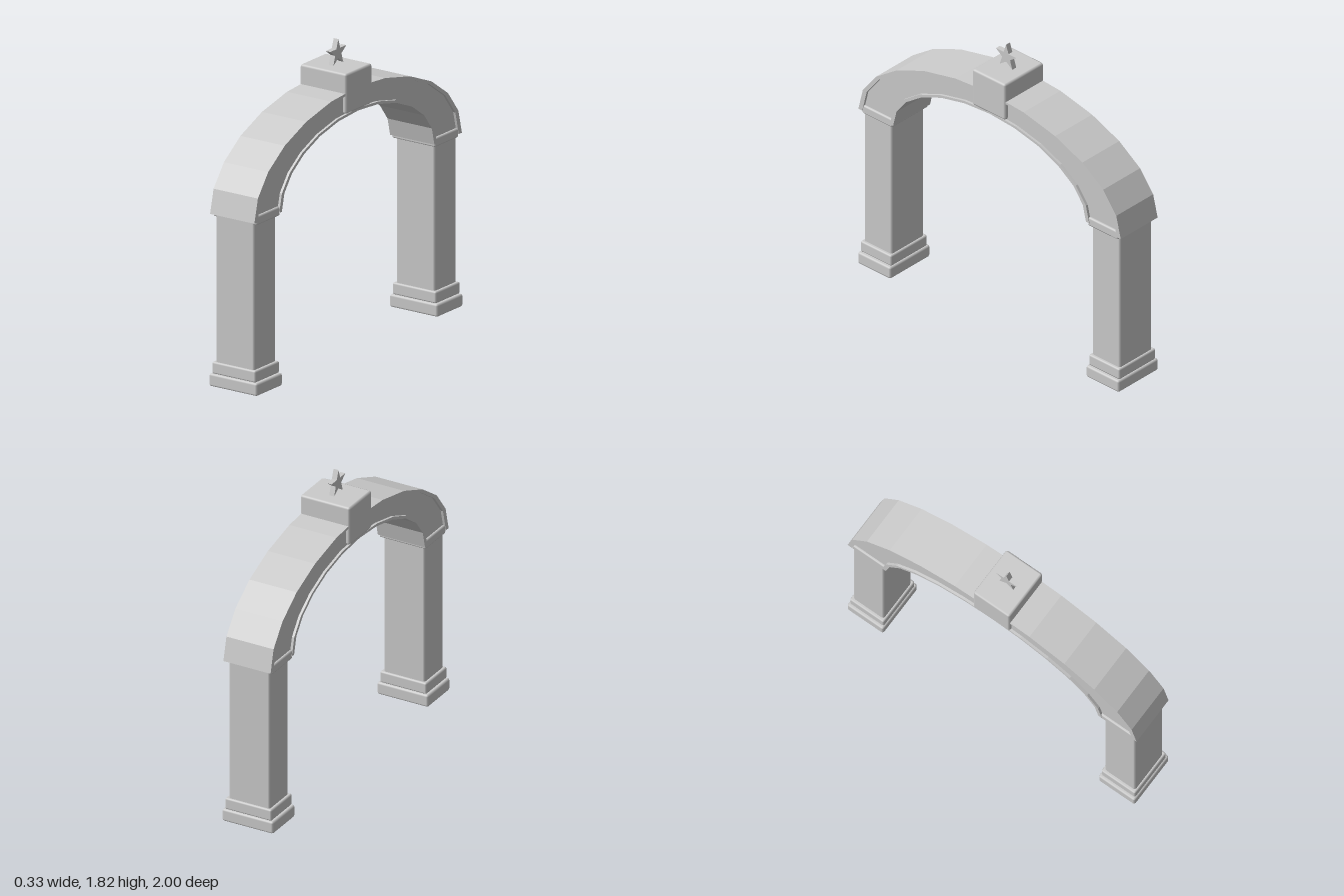
import * as THREE from 'three';
import { RoundedBoxGeometry } from 'three/addons/geometries/RoundedBoxGeometry.js';

const SPRING = 1.02; // height where the arch starts

export function createModel() {
  const model = new THREE.Group();
  model.name = 'archway';
  const stone = new THREE.MeshStandardMaterial({ color: 0xcccccc });
  stone.name = 'pale stone';

  const add = (parent, name, geometry) => {
    const mesh = new THREE.Mesh(geometry, stone);
    mesh.name = name;
    parent.add(mesh);
    return mesh;
  };

  // Block with softened edges, spanning y0 to y1
  const block = (parent, name, width, depth, y0, y1, z, bevel) => {
    const geometry = new RoundedBoxGeometry(width, y1 - y0, depth, 1, bevel);
    add(parent, name, geometry).position.set(0, (y0 + y1) / 2, z);
  };

  // Extrudes a z-y outline along x, centred on x = 0
  const slab = (points, width) => {
    const geometry = new THREE.ExtrudeGeometry(new THREE.Shape(points), { depth: width, bevelEnabled: false });
    return geometry.translate(0, 0, -width / 2).rotateY(Math.PI / 2);
  };

  // Half of a faceted ellipse above the spring line
  const halfEllipse = (a, b) => Array.from({ length: 13 }, (_, i) => {
    const t = (i / 12) * Math.PI;
    return new THREE.Vector2(a * Math.cos(t), SPRING + b * Math.sin(t));
  });
  const archBand = (a0, b0, a1, b1, width) =>
    slab([...halfEllipse(a0, b0), ...halfEllipse(a1, b1).reverse()], width);

  // Pillars with stepped bases and capitals
  for (const side of [1, -1]) {
    const pillar = new THREE.Group();
    pillar.name = side > 0 ? 'frontPillar' : 'backPillar';
    const z = side * 0.87;
    block(pillar, 'plinth', 0.33, 0.25, 0, 0.075, z, 0.012);
    block(pillar, 'baseStep', 0.3, 0.235, 0.075, 0.145, z, 0.01);
    block(pillar, 'shaft', 0.265, 0.21, 0.13, 1.02, z, 0.012);
    block(pillar, 'capital', 0.3, 0.23, 1.0, 1.055, side * 0.86, 0.01);
    model.add(pillar);
  }

  // Arch: recessed body between two raised rims
  const arch = new THREE.Group();
  arch.name = 'arch';
  add(arch, 'archBody', archBand(0.97, 0.525, 0.76, 0.415, 0.275));
  add(arch, 'outerRim', archBand(1, 0.54, 0.97, 0.525, 0.305));
  add(arch, 'innerRim', archBand(0.76, 0.415, 0.735, 0.4, 0.305));
  model.add(arch);

  // Keystone
  block(model, 'keystone', 0.32, 0.25, 1.43, 1.667, 0, 0.013);

  // Five-pointed star on top
  const star = Array.from({ length: 10 }, (_, i) => {
    const r = i % 2 ? 0.032 : 0.081;
    const t = Math.PI / 2 + (i * Math.PI) / 5;
    return new THREE.Vector2(r * Math.cos(t), 1.734 + r * Math.sin(t));
  });
  add(model, 'star', slab(star, 0.032));

  return model;
}
